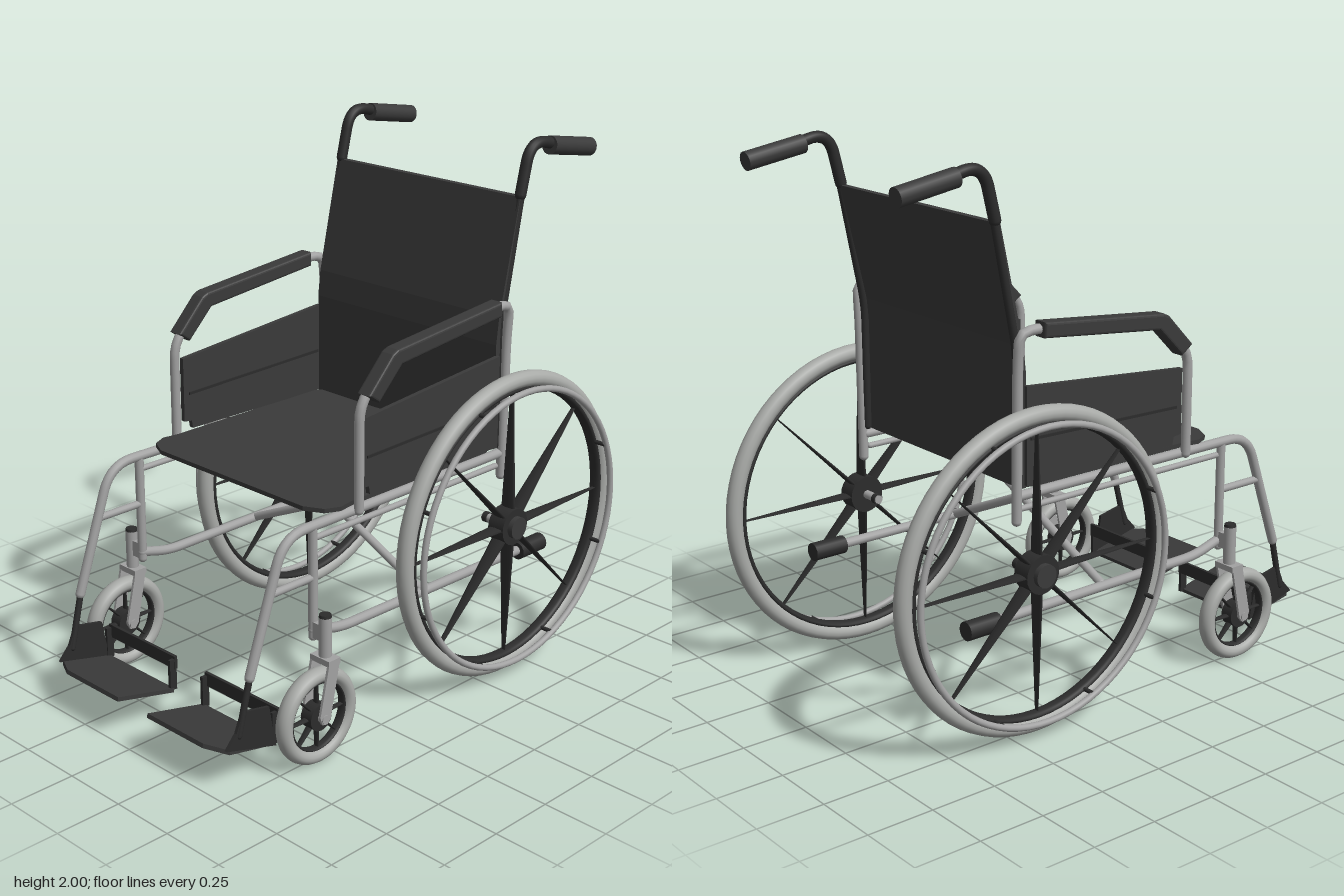
import * as THREE from 'three';

const mat = (name, color) => Object.assign(new THREE.MeshStandardMaterial({ color }), { name });
const V = (x, y, z) => new THREE.Vector3(x, y, z);

export function createModel() {
  const fabric = mat('dark fabric', 0x3a3a3a);
  const plastic = mat('black plastic', 0x2c2c2c);
  const metal = mat('grey metal', 0xa2a2a2);
  const rubber = mat('light grey rubber', 0xa8aaa7);

  const model = new THREE.Group();
  model.name = 'wheelchair';

  const add = (parent, name, geo, material, x = 0, y = 0, z = 0) => {
    const m = new THREE.Mesh(geo, material);
    m.name = name;
    m.position.set(x, y, z);
    parent.add(m);
    return m;
  };

  // Round bar along a polyline whose corners are filleted, with rounded ends
  const tube = (parent, name, pts, r, material, fillet = 0.06) => {
    const path = new THREE.CurvePath();
    let from = pts[0];
    for (let i = 1; i < pts.length - 1; i++) {
      const p = pts[i], d1 = pts[i - 1].clone().sub(p), d2 = pts[i + 1].clone().sub(p);
      const f = Math.min(fillet, d1.length() * 0.45, d2.length() * 0.45);
      const a = p.clone().addScaledVector(d1.normalize(), f);
      const b = p.clone().addScaledVector(d2.normalize(), f);
      path.add(new THREE.LineCurve3(from, a));
      path.add(new THREE.QuadraticBezierCurve3(a, p, b));
      from = b;
    }
    path.add(new THREE.LineCurve3(from, pts[pts.length - 1]));
    add(parent, name, new THREE.TubeGeometry(path, pts.length > 2 ? 64 : 1, r, 12), material);
    for (const p of [pts[0], pts[pts.length - 1]])
      add(parent, name + 'End', new THREE.SphereGeometry(r, 12, 8), material, p.x, p.y, p.z);
  };

  // Side profile given as [z, y] points, widened along x
  const profile = (parent, name, pts, width, material, x, bevel = 0) => {
    const shape = new THREE.Shape(pts.map(([z, y]) => new THREE.Vector2(z, y)));
    const depth = width - 2 * bevel;
    const geo = new THREE.ExtrudeGeometry(shape, {
      depth, bevelEnabled: bevel > 0, bevelSize: bevel, bevelOffset: -bevel, bevelThickness: bevel, bevelSegments: 3,
    });
    geo.translate(0, 0, -depth / 2).rotateY(-Math.PI / 2);
    add(parent, name, geo, material, x);
  };

  // Flat plate outlined in x and z
  const plate = (parent, name, pts, thick, material) => {
    const shape = new THREE.Shape(pts.map(([x, z]) => new THREE.Vector2(x, z)));
    const geo = new THREE.ExtrudeGeometry(shape, { depth: thick, bevelEnabled: false }).rotateX(Math.PI / 2);
    return add(parent, name, geo, material);
  };

  const ring = (R, r, stretch) => new THREE.TorusGeometry(R, r, 14, 72).scale(1, 1, stretch).rotateY(Math.PI / 2);
  const disc = (r, w) => new THREE.CylinderGeometry(r, r, w, 24).rotateZ(Math.PI / 2);

  // Tapered blades from hub to rim, deep along the axle
  const spokes = (parent, inner, outer, hubDepth, rimDepth, thin) => {
    for (let i = 0; i < 8; i++) {
      const geo = new THREE.CylinderGeometry(rimDepth, hubDepth, outer - inner, 8);
      geo.scale(1, 1, thin / hubDepth).translate(0, (inner + outer) / 2, 0).rotateX(i * Math.PI / 4);
      add(parent, 'spoke', geo, plastic);
    }
  };

  // Seat sling with cut front corners
  plate(model, 'seat', [[-0.43, -0.39], [0.43, -0.39], [0.455, -0.34], [0.455, 0.36], [0.465, 0.42], [0.44, 0.475],
    [0.37, 0.51], [-0.37, 0.51], [-0.44, 0.475], [-0.465, 0.42], [-0.455, 0.36], [-0.455, -0.34]], 0.016, fabric).position.y = 0.893;

  // Backrest sling, leaning back in its upper part
  profile(model, 'backrest', [[-0.378, 0.88], [-0.378, 1.28], [-0.39, 1.38], [-0.485, 1.805],
    [-0.51, 1.805], [-0.41, 1.38], [-0.4, 1.28], [-0.4, 0.88]], 0.91, fabric, 0);

  // Folding cross brace
  tube(model, 'crossBrace', [V(-0.45, 0.855, 0), V(0.45, 0.445, 0)], 0.016, metal);
  tube(model, 'crossBrace', [V(0.45, 0.855, -0.032), V(-0.45, 0.445, -0.032)], 0.016, metal);
  add(model, 'bracePivot', new THREE.CylinderGeometry(0.012, 0.012, 0.075, 12).rotateX(Math.PI / 2), metal, 0, 0.65, -0.016);

  for (const s of [1, -1]) {
    const side = new THREE.Group();
    side.name = s > 0 ? 'leftSide' : 'rightSide';
    model.add(side);
    const P = (x, y, z) => V(s * x, y, z);

    // Frame tubes
    tube(side, 'seatRail', [P(0.455, 0.857, -0.41), P(0.455, 0.857, 0.68), P(0.455, 0.4, 0.84)], 0.018, metal, 0.1);
    tube(side, 'innerRail', [P(0.45, 0.808, -0.4), P(0.45, 0.808, 0.545)], 0.011, metal);
    tube(side, 'frontPost', [P(0.455, 0.857, 0.545), P(0.455, 0.45, 0.545)], 0.017, metal);
    tube(side, 'frontStrut', [P(0.455, 0.67, 0.545), P(0.455, 0.67, 0.745)], 0.014, metal);
    tube(side, 'lowerRail', [P(0.455, 0.475, 0.545), P(0.458, 0.44, 0.42), P(0.47, 0.437, -0.53)], 0.018, metal);
    add(side, 'lowerRailCap', new THREE.CylinderGeometry(0.034, 0.034, 0.135, 16).rotateX(Math.PI / 2), plastic, s * 0.472, 0.435, -0.585);

    // Back cane and push handle
    tube(side, 'backCane', [P(0.445, 0.89, -0.41), P(0.445, 1.36, -0.41), P(0.445, 1.82, -0.502)], 0.015, plastic);
    tube(side, 'handleBend', [P(0.445, 1.81, -0.498), P(0.445, 2.0, -0.545), P(0.445, 1.955, -0.73)], 0.021, plastic, 0.13);
    const grip = add(side, 'handGrip', new THREE.CylinderGeometry(0.034, 0.034, 0.235, 20).rotateX(Math.PI / 2), fabric, s * 0.445, 1.946, -0.768);
    grip.rotation.x = -0.165;

    // Armrest loop, pad and side guard
    tube(side, 'armrestTube', [P(0.475, 0.86, 0.345), P(0.475, 1.24, 0.345), P(0.478, 1.375, 0.2),
      P(0.478, 1.435, -0.33), P(0.475, 1.43, -0.422), P(0.465, 1.3, -0.422), P(0.458, 0.77, -0.422)], 0.018, metal);
    profile(side, 'armrestPad', [[0.335, 1.275], [0.285, 1.24], [0.175, 1.35], [-0.34, 1.405],
      [-0.34, 1.46], [0.195, 1.407], [0.22, 1.395]], 0.062, fabric, s * 0.482, 0.01);
    profile(side, 'sideGuard', [[0.325, 0.935], [0.29, 0.93], [0.285, 0.9], [-0.385, 0.89], [-0.385, 1.24], [0.325, 1.18]], 0.018, fabric, s * 0.46);
    profile(side, 'sideGuardRib', [[0.3, 1.035], [-0.37, 1.05], [-0.37, 1.06], [0.3, 1.045]], 0.026, plastic, s * 0.46);

    // Drive wheel
    const wheel = new THREE.Group();
    wheel.name = 'driveWheel';
    wheel.position.set(s * 0.527, 0.6, -0.39);
    side.add(wheel);
    add(wheel, 'tyre', ring(0.556, 0.031, 1.05), rubber);
    add(wheel, 'rim', ring(0.526, 0.013, 1.9), plastic);
    spokes(wheel, 0.04, 0.52, 0.034, 0.009, 0.007);
    add(wheel, 'hub', disc(0.07, 0.07), plastic);
    add(wheel, 'hubCap', disc(0.042, 0.05), fabric, s * 0.03);
    add(wheel, 'axle', disc(0.016, 0.13), metal, -s * 0.05);
    add(wheel, 'axleNut', disc(0.02, 0.02), plastic, -s * 0.1);
    add(wheel, 'handRim', ring(0.532, 0.012, 1), metal, s * 0.066);
    for (let i = 0; i < 8; i++) {
      const a = (i + 0.5) * Math.PI / 4;
      add(wheel, 'handRimPeg', disc(0.008, 0.06), plastic, s * 0.037, Math.sin(a) * 0.526, Math.cos(a) * 0.526);
    }

    // Caster wheel
    const caster = new THREE.Group();
    caster.name = 'casterWheel';
    caster.position.set(s * 0.515, 0.186, 0.59);
    side.add(caster);
    add(caster, 'casterTyre', ring(0.151, 0.027, 1.2), rubber);
    add(caster, 'casterRim', ring(0.125, 0.007, 2.5), plastic);
    spokes(caster, 0.03, 0.125, 0.016, 0.01, 0.006);
    add(caster, 'casterHub', disc(0.05, 0.05), plastic);
    add(caster, 'casterAxle', disc(0.017, 0.1), metal);

    // Caster fork and stem
    for (const o of [-0.041, 0.041])
      profile(side, 'forkLeg', [[0.52, 0.395], [0.57, 0.395], [0.615, 0.2], [0.605, 0.17], [0.58, 0.165], [0.565, 0.185]], 0.01, metal, s * (0.515 + o));
    add(side, 'forkCrown', new THREE.BoxGeometry(0.092, 0.022, 0.055), metal, s * 0.515, 0.387, 0.546);
    add(side, 'casterStem', new THREE.CylinderGeometry(0.023, 0.023, 0.155, 16), metal, s * 0.515, 0.465, 0.546);
    add(side, 'stemCap', new THREE.CylinderGeometry(0.021, 0.023, 0.012, 16), plastic, s * 0.515, 0.547, 0.546);
    add(side, 'stemBracket', new THREE.BoxGeometry(0.06, 0.06, 0.025), metal, s * 0.483, 0.48, 0.546);

    // Footrest
    tube(side, 'footrestRod', [P(0.455, 0.41, 0.837), P(0.452, 0.2, 0.89)], 0.012, plastic);
    const foot = plate(side, 'footplate', [[s * 0.08, 0], [s * 0.445, 0], [s * 0.455, 0.215], [s * 0.37, 0.262], [s * 0.08, 0.262]], 0.016, fabric);
    foot.position.set(0, 0.112, 0.722);
    foot.rotation.x = -0.235;
    profile(side, 'footrestBracket', [[0.95, 0.165], [0.905, 0.215], [0.875, 0.285], [0.755, 0.26],
      [0.745, 0.2], [0.725, 0.1]], 0.012, plastic, s * 0.452);
    add(side, 'heelBar', new THREE.BoxGeometry(0.375, 0.05, 0.012), plastic, s * 0.268, 0.21, 0.71);
    for (const x of [0.088, 0.448])
      add(side, 'heelBarEnd', new THREE.BoxGeometry(0.012, 0.12, 0.03), plastic, s * x, 0.165, 0.722);
  }
  return model;
}
